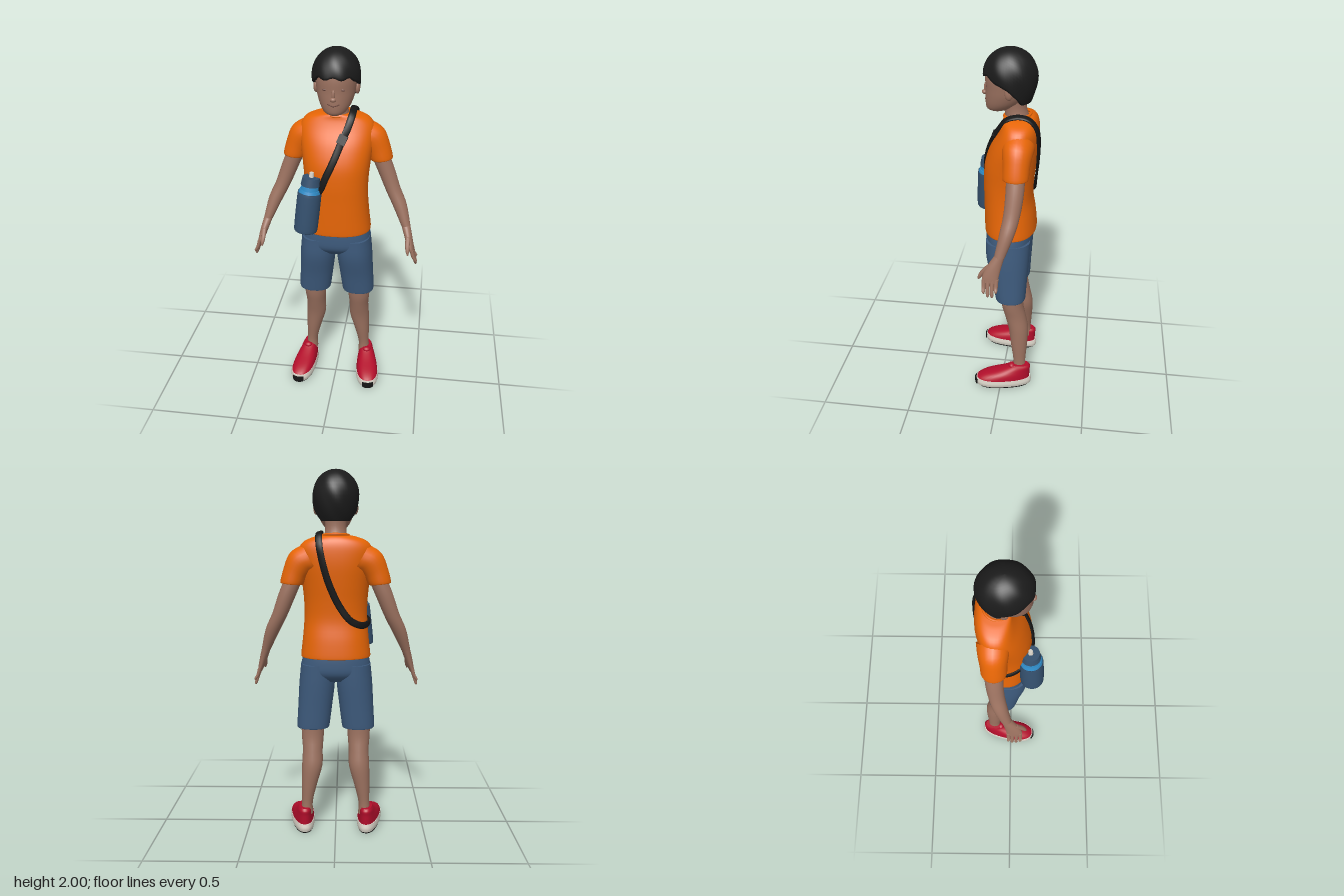
import * as THREE from 'three';

const V = (x, y, z) => new THREE.Vector3(x, y, z);
const mat = (name, color) => {
  const m = new THREE.MeshStandardMaterial({ color });
  m.name = name;
  return m;
};

// Skin rows of points (closed around) into one surface, optionally capped.
function skin(rows, caps = true) {
  const n = rows[0].length, pos = [], idx = [];
  rows.forEach(r => r.forEach(p => pos.push(p.x, p.y, p.z)));
  for (let i = 0; i < rows.length - 1; i++) {
    for (let j = 0; j < n; j++) {
      const a = i * n + j, b = i * n + (j + 1) % n;
      idx.push(a, b, a + n, b, b + n, a + n);
    }
  }
  if (caps) [rows[0], rows[rows.length - 1]].forEach((r, end) => {
    const base = pos.length / 3, c = V(0, 0, 0);
    r.forEach(p => { pos.push(p.x, p.y, p.z); c.addScaledVector(p, 1 / n); });
    pos.push(c.x, c.y, c.z);
    for (let j = 0; j < n; j++) {
      const a = base + j, b = base + (j + 1) % n;
      idx.push(base + n, end ? a : b, end ? b : a);
    }
  });
  const g = new THREE.BufferGeometry();
  g.setAttribute('position', new THREE.Float32BufferAttribute(pos, 3));
  g.setIndex(idx);
  g.computeVertexNormals();
  return g;
}

const sgnPow = (v, e) => Math.sign(v) * Math.abs(v) ** e;

// Smooth loft, top to bottom, through rings [x, y, z, rx, rz, tilt].
function loft(rings, { power = 2, seg = 24, sub = 4, caps = true } = {}) {
  const mid = new THREE.CatmullRomCurve3(rings.map(r => V(r[0], r[1], r[2])), false, 'catmullrom');
  const size = new THREE.CatmullRomCurve3(rings.map(r => V(r[3], r[4], r[5] || 0)), false, 'catmullrom');
  const rows = [], n = (rings.length - 1) * sub;
  for (let i = 0; i <= n; i++) {
    const c = mid.getPoint(i / n), s = size.getPoint(i / n), row = [];
    for (let j = 0; j < seg; j++) {
      const t = j / seg * Math.PI * 2;
      const u = s.x * sgnPow(Math.cos(t), 2 / power), w = s.y * sgnPow(Math.sin(t), 2 / power);
      row.push(V(c.x + u * Math.cos(s.z), c.y + u * Math.sin(s.z), c.z + w));
    }
    rows.push(row);
  }
  return skin(rows, caps);
}

function mirrored(geo) {
  const g = geo.clone().scale(-1, 1, 1), a = g.index.array;
  for (let i = 0; i < a.length; i += 3) [a[i], a[i + 1]] = [a[i + 1], a[i]];
  return g;
}

const ball = (x, y, z, a, b, c) => new THREE.SphereGeometry(1, 16, 12).scale(a, b, c).translate(x, y, z);
const tube = (pts, r) => new THREE.TubeGeometry(new THREE.CatmullRomCurve3(pts.map(p => V(...p))), 14, r, 6);

// Torso rings: x, y, z, rx, rz
const TORSO = [
  [0, 1.657, -0.068, 0.072, 0.07], [0, 1.648, -0.075, 0.115, 0.08], [0, 1.625, -0.08, 0.168, 0.09],
  [0, 1.58, -0.075, 0.197, 0.104], [0, 1.5, -0.055, 0.195, 0.125], [0, 1.4, -0.034, 0.182, 0.136],
  [0, 1.3, -0.024, 0.173, 0.134], [0, 1.2, -0.022, 0.173, 0.131], [0, 1.1, -0.03, 0.181, 0.138],
  [0, 1.01, -0.035, 0.191, 0.141], [0, 1.0, -0.035, 0.187, 0.137],
];
const TORSO_POWER = 2.3;

// Point just outside the shirt at x, y on the front (1) or back (-1).
function onShirt(x, y, side) {
  const i = Math.max(1, TORSO.findIndex(r => r[1] <= y));
  const A = TORSO[i - 1], B = TORSO[i], f = (y - A[1]) / (B[1] - A[1]);
  const [cz, rx, rz] = [2, 3, 4].map(k => A[k] + (B[k] - A[k]) * f);
  return V(x, y, cz + side * (0.008 + rz * (1 - Math.min(1, Math.abs(x / rx)) ** TORSO_POWER) ** (1 / TORSO_POWER)));
}

function hairGeometry() {
  const rows = [], seg = 56, n = 18, cy = 1.862;
  for (let i = 0; i <= n + 1; i++) {
    const row = [];
    for (let j = 0; j < seg; j++) {
      const t = j / seg * Math.PI * 2, f = Math.sin(t);
      // hairline: high over the brow, short at the ears, low at the nape
      const low = f > 0 ? 1.815 + 0.055 * Math.min(1, f * 1.25) + 0.007 * Math.sin(t * 9) * f
        : 1.815 - 0.085 * Math.min(1, -f * 1.6);
      const a = Math.acos((low - cy) / 0.138) * Math.min(i, n) / n;
      let r = a < Math.PI / 2 ? Math.sin(a) : 1 - 0.25 * Math.cos(a) ** 2;
      r *= 1 + 0.014 * Math.sin(t * 7 + a * 4) * Math.sin(a);
      if (i > n) r *= 0.8;
      row.push(V(0.124 * r * Math.cos(t), cy + 0.138 * Math.cos(a), -0.028 + 0.138 * r * f));
    }
    rows.push(row);
  }
  return skin(rows, false);
}

function strapGeometry() {
  const path = new THREE.CatmullRomCurve3([
    V(0.085, 1.672, -0.08), V(0.082, 1.652, -0.015), onShirt(0.062, 1.59, 1), onShirt(0.036, 1.53, 1),
    onShirt(0, 1.44, 1), onShirt(-0.04, 1.35, 1), onShirt(-0.075, 1.27, 1), onShirt(-0.13, 1.22, 1),
    V(-0.184, 1.19, -0.02), onShirt(-0.14, 1.18, -1), onShirt(-0.08, 1.21, -1), onShirt(-0.02, 1.29, -1),
    onShirt(0.035, 1.41, -1), onShirt(0.07, 1.53, -1), onShirt(0.085, 1.61, -1), V(0.088, 1.66, -0.135),
  ], true);
  const rows = [];
  for (let i = 0; i <= 110; i++) {
    const p = path.getPointAt((i % 110) / 110), t = path.getTangentAt((i % 110) / 110);
    const n = V(p.x * 0.6, Math.max(0, p.y - 1.56) * 1.5, p.z + 0.05);
    n.addScaledVector(t, -n.dot(t)).normalize();
    const w = n.clone().cross(t);
    rows.push(Array.from({ length: 10 }, (_, j) => {
      const a = j / 10 * Math.PI * 2;
      return p.clone().addScaledVector(w, 0.019 * sgnPow(Math.cos(a), 0.6)).addScaledVector(n, 0.007 * Math.sin(a));
    }));
  }
  return skin(rows, false);
}

export function createModel() {
  const root = new THREE.Group();
  root.name = 'boy';
  const M = {
    skin: mat('skin', 0x9c7260), lips: mat('lips and eyelids', 0x6e4a40), hair: mat('hair', 0x1b1b1b),
    shirt: mat('orange shirt', 0xe86606), shorts: mat('blue shorts', 0x3d5a7c), shoe: mat('red shoe', 0xb30e2b),
    sole: mat('pale sole', 0xd9d3c7), black: mat('black webbing', 0x161616),
    navy: mat('bottle navy', 0x35516f), sky: mat('bottle light blue', 0x2f8cc8),
  };
  const add = (name, geo, m) => {
    const mesh = new THREE.Mesh(geo, m);
    mesh.name = name;
    root.add(mesh);
  };
  const pair = (name, geo, m) => {
    add(name + 'Left', geo, m);
    add(name + 'Right', mirrored(geo), m);
  };

  // Head
  add('head', loft([
    [0, 1.955, -0.02, 0.06, 0.075], [0, 1.92, -0.02, 0.092, 0.105], [0, 1.86, -0.022, 0.106, 0.12],
    [0, 1.8, -0.018, 0.101, 0.115], [0, 1.76, -0.009, 0.093, 0.107], [0, 1.72, 0.01, 0.077, 0.088],
    [0, 1.69, 0.032, 0.054, 0.061], [0, 1.676, 0.04, 0.028, 0.034],
  ], { seg: 32 }), M.skin);
  add('hair', hairGeometry(), M.hair);
  add('neck', loft([[0, 1.76, -0.05, 0.06, 0.065], [0, 1.69, -0.055, 0.056, 0.058], [0, 1.62, -0.07, 0.068, 0.066]]), M.skin);
  add('noseTip', ball(0, 1.768, 0.103, 0.016, 0.012, 0.014), M.skin);
  add('noseBridge', ball(0, 1.789, 0.097, 0.009, 0.028, 0.01), M.skin);
  add('mouth', tube([[-0.03, 1.742, 0.0925], [0, 1.733, 0.099], [0.03, 1.742, 0.0925]], 0.003), M.lips);
  pair('ear', ball(0.107, 1.798, -0.03, 0.014, 0.034, 0.021).rotateY(0.03), M.skin);
  pair('eyelid', ball(0.04, 1.813, 0.085, 0.018, 0.006, 0.004), M.lips);

  // Shirt
  add('shirtBody', loft(TORSO, { power: TORSO_POWER, seg: 40 }), M.shirt);
  add('collar', new THREE.TorusGeometry(0.069, 0.007, 8, 32).rotateX(Math.PI / 2 + 0.12).translate(0, 1.656, -0.066), M.shirt);
  pair('sleeve', loft([
    [0.13, 1.53, -0.085, 0.09, 0.085, 1.05], [0.18, 1.51, -0.086, 0.083, 0.077, 0.7],
    [0.213, 1.46, -0.085, 0.069, 0.069, 0.35], [0.235, 1.405, -0.084, 0.062, 0.066, 0.12],
    [0.235, 1.404, -0.084, 0.054, 0.057, 0.12],
  ]), M.shirt);

  // Arms and hands
  pair('arm', loft([
    [0.215, 1.45, -0.084, 0.046, 0.048, 0.25], [0.262, 1.34, -0.084, 0.045, 0.047, 0.25],
    [0.305, 1.23, -0.074, 0.04, 0.043, 0.25], [0.348, 1.14, -0.054, 0.037, 0.039, 0.25],
    [0.388, 1.03, -0.022, 0.024, 0.028, 0.2],
  ]), M.skin);
  pair('palm', loft([
    [0.385, 1.04, -0.024, 0.024, 0.027, 0.2], [0.404, 0.98, 0.004, 0.021, 0.038, 0.2],
    [0.419, 0.93, 0.02, 0.017, 0.043, 0.2], [0.429, 0.9, 0.022, 0.012, 0.039, 0.2],
  ]), M.skin);
  [[0.052, 0.845], [0.03, 0.825], [0.008, 0.823], [-0.012, 0.85]].forEach(([z, tip], i) => pair('finger' + (i + 1), loft([
    [0.426, 0.92, z, 0.011, 0.0115], [0.437, 0.88, z + 0.002, 0.01, 0.011],
    [0.45, tip + 0.012, z + 0.001, 0.0085, 0.009], [0.452, tip, z, 0.003, 0.004],
  ], { seg: 10 }), M.skin));
  pair('thumb', loft([
    [0.403, 0.99, 0.022, 0.014, 0.018], [0.402, 0.955, 0.055, 0.013, 0.015],
    [0.404, 0.925, 0.075, 0.01, 0.012], [0.406, 0.905, 0.084, 0.004, 0.005],
  ], { seg: 10 }), M.skin);

  // Shorts
  add('shortsSeat', loft([
    [0, 1.04, -0.03, 0.172, 0.125], [0, 0.97, -0.03, 0.188, 0.129], [0, 0.91, -0.03, 0.19, 0.123], [0, 0.865, -0.03, 0.15, 0.085],
  ], { power: 2.4, seg: 36 }), M.shorts);
  pair('shortsLeg', loft([
    [0.1, 0.96, -0.03, 0.092, 0.122], [0.104, 0.85, -0.03, 0.099, 0.118], [0.115, 0.72, -0.041, 0.095, 0.099],
    [0.125, 0.61, -0.048, 0.091, 0.086], [0.125, 0.598, -0.048, 0.088, 0.083],
  ], { power: 2.3, seg: 28 }), M.shorts);

  // Legs
  pair('leg', loft([
    [0.127, 0.65, -0.055, 0.066, 0.066], [0.129, 0.55, -0.06, 0.062, 0.062], [0.129, 0.47, -0.077, 0.056, 0.06],
    [0.132, 0.38, -0.096, 0.057, 0.057], [0.148, 0.27, -0.102, 0.043, 0.047],
    [0.16, 0.17, -0.106, 0.031, 0.036], [0.163, 0.1, -0.106, 0.035, 0.04],
  ]), M.skin);

  // Shoes: built pointing along +z, narrowed at the heel, then toed out
  const place = g => {
    const p = g.attributes.position;
    for (let i = 0; i < p.count; i++) p.setX(i, p.getX(i) * (0.95 + 0.9 * p.getZ(i)));
    g.computeVertexNormals();
    return g.rotateY(0.14).translate(0.19, 0, -0.015);
  };
  pair('shoeUpper', place(loft([
    [0, 0.143, -0.098, 0.034, 0.05], [0, 0.128, -0.096, 0.043, 0.063], [0, 0.105, -0.065, 0.051, 0.092],
    [0, 0.08, -0.022, 0.06, 0.134], [0, 0.055, 0.001, 0.065, 0.156], [0, 0.035, 0.001, 0.065, 0.156],
  ], { power: 2.3, seg: 32 })), M.shoe);
  pair('midsole', place(loft([
    [0, 0.053, 0, 0.067, 0.161], [0, 0.03, 0, 0.07, 0.166], [0, 0.01, 0, 0.066, 0.162],
  ], { power: 2.4, seg: 32 })), M.sole);
  pair('outsole', place(loft([[0, 0.016, 0, 0.067, 0.162], [0, 0, 0, 0.062, 0.152]], { power: 2.4, seg: 32 })), M.black);
  pair('toeBumper', place(new THREE.CylinderGeometry(1, 1, 0.034, 12, 1, false, -0.42, 0.84)
    .scale(0.074, 1, 0.172).translate(0, 0.026, 0)), M.black);
  [[-0.045, 0.128], [-0.012, 0.112], [0.018, 0.101]].forEach(([z, y], i) => pair('lace' + (i + 1), place(
    tube([[-0.037, y - 0.024, z - 0.012], [0, y, z], [0.037, y - 0.024, z - 0.012]], 0.006)), M.shoe));
  pair('tongue', place(ball(0, 0.132, -0.05, 0.027, 0.016, 0.02)), M.shoe);

  // Bottle, leaning slightly inward and back
  const bottle = (name, geo, m) => add(name, geo.rotateX(-0.05).rotateZ(-0.11).translate(-0.15, 1.04, 0.115), m);
  const cyl = (top, bottom, y0, y1) => new THREE.CylinderGeometry(top, bottom, y1 - y0, 28).translate(0, (y0 + y1) / 2, 0);
  bottle('bottleBody', loft([
    [0, 0.222, 0, 0.058, 0.058], [0, 0.21, 0, 0.064, 0.064], [0, 0.02, 0, 0.064, 0.064], [0, 0, 0, 0.056, 0.056],
  ], { seg: 28 }), M.navy);
  bottle('bottleRing', cyl(0.054, 0.062, 0.216, 0.242), M.sky);
  bottle('bottleNeck', cyl(0.046, 0.05, 0.242, 0.27), M.sky);
  bottle('bottleCap', cyl(0.046, 0.052, 0.266, 0.31), M.navy);
  bottle('bottleSpout', cyl(0.011, 0.014, 0.305, 0.335), M.sole);
  bottle('bottleLoop', new THREE.TorusGeometry(0.022, 0.007, 8, 18).translate(0.062, 0.235, -0.01), M.black);

  // Shoulder strap and its buckle
  add('strap', strapGeometry(), M.black);
  const buckle = onShirt(0.04, 1.545, 1);
  add('buckle', new THREE.BoxGeometry(0.046, 0.05, 0.016).rotateZ(-0.4).rotateX(-0.35)
    .translate(buckle.x, buckle.y, buckle.z + 0.004), M.black);

  return root;
}
